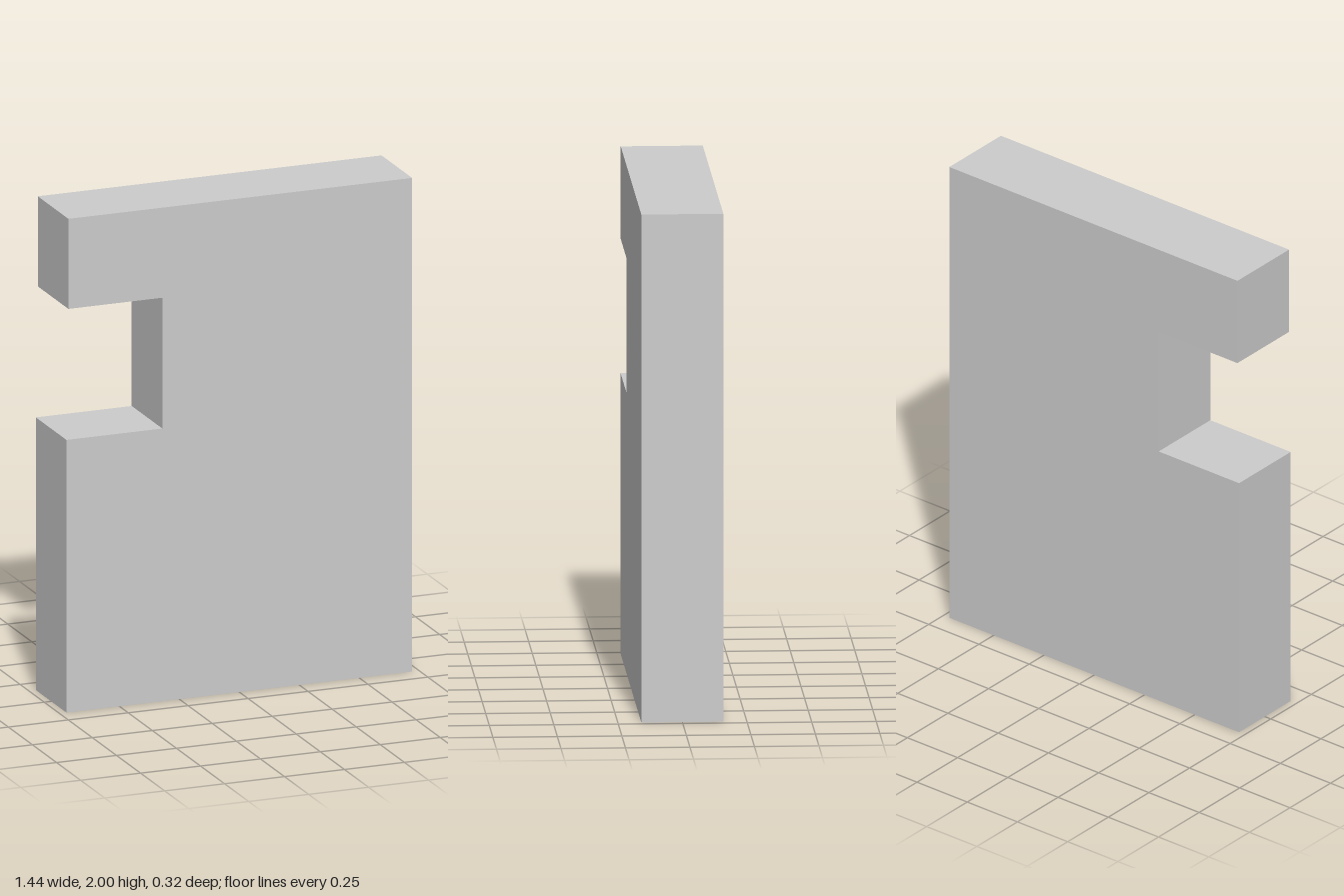
import * as THREE from 'three';

const DEPTH = 0.318;

export function createModel() {
  const group = new THREE.Group();
  group.name = 'notchedPanel';

  // Panel outline with a rectangular notch in its right edge;
  // the arm above the notch is a touch shorter than the body below
  const outline = new THREE.Shape([
    [-0.721, 0], [0.721, 0], [0.721, 2], [-0.713, 2],
    [-0.713, 1.635], [-0.321, 1.635], [-0.321, 1.105], [-0.721, 1.105],
  ].map(([x, y]) => new THREE.Vector2(x, y)));

  const geometry = new THREE.ExtrudeGeometry(outline, { depth: DEPTH, bevelEnabled: false });
  geometry.translate(0, 0, -DEPTH / 2);

  const panel = new THREE.Mesh(
    geometry,
    new THREE.MeshStandardMaterial({ color: 0xcccccc, flatShading: true }),
  );
  panel.name = 'panel';
  group.add(panel);
  return group;
}
